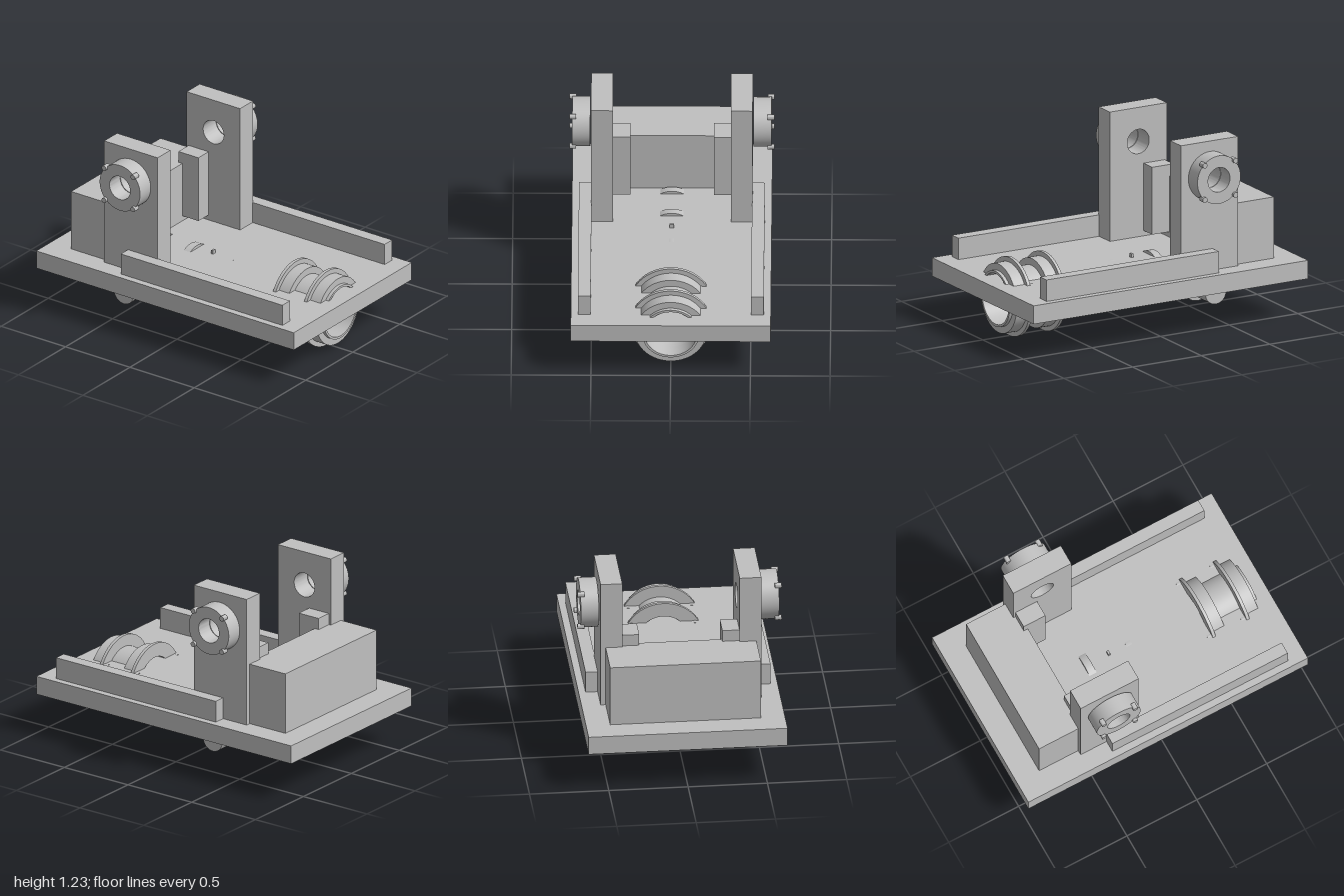
import * as THREE from 'three';
import { toCreasedNormals } from 'three/addons/utils/BufferGeometryUtils.js';

const AXLE_Y = 0.255;

export function createModel() {
  const model = new THREE.Group();
  model.name = 'machineFrame';
  const grey = new THREE.MeshStandardMaterial({ color: 0xc0c0c0 });
  grey.name = 'plain grey';

  function add(name, geometry) {
    const mesh = new THREE.Mesh(geometry, grey);
    mesh.name = name;
    model.add(mesh);
    return mesh;
  }

  // Box given by its limits on each axis
  function box(name, x0, x1, y0, y1, z0, z1) {
    const g = new THREE.BoxGeometry(x1 - x0, y1 - y0, z1 - z0);
    g.translate((x0 + x1) / 2, (y0 + y1) / 2, (z0 + z1) / 2);
    return add(name, g);
  }

  function circlePath(PathType, x, y, r) {
    const p = new PathType();
    p.absarc(x, y, r, 0, Math.PI * 2, false);
    return p;
  }

  function extrude(shape, depth, segments = 32) {
    const g = new THREE.ExtrudeGeometry(shape, { depth, bevelEnabled: false, curveSegments: segments });
    return toCreasedNormals(g, 0.6);
  }

  // Ring or disc along z, centred at (x, y)
  function ringZ(name, x, y, r, bore, z0, z1) {
    const shape = circlePath(THREE.Shape, 0, 0, r);
    if (bore) shape.holes.push(circlePath(THREE.Path, 0, 0, bore));
    return add(name, extrude(shape, z1 - z0).translate(x, y, z0));
  }

  // Ring or disc along x, centred at (y, z)
  function ringX(name, x0, x1, r, bore = 0, y = AXLE_Y, z = 0) {
    const shape = circlePath(THREE.Shape, 0, 0, r);
    if (bore) shape.holes.push(circlePath(THREE.Path, 0, 0, bore));
    return add(name, extrude(shape, x1 - x0).rotateY(Math.PI / 2).translate(x0, y, z));
  }

  // Limits along z, mirrored for each side
  const span = (s, a, b) => (s > 0 ? [a, b] : [-b, -a]);

  // Base plate and rear block
  box('basePlate', -1, 1, 0.26, 0.38, -0.627, 0.627);
  box('rearBlock', -0.84, -0.515, 0.38, 0.78, -0.475, 0.475);

  for (const s of [1, -1]) {
    // Upright with a bearing hole
    const tower = new THREE.Shape();
    tower.moveTo(-0.56, 0.38);
    tower.lineTo(-0.145, 0.38);
    tower.lineTo(-0.145, 1.225);
    tower.lineTo(-0.56, 1.225);
    tower.closePath();
    tower.holes.push(circlePath(THREE.Path, -0.352, 1.002, 0.08));
    const [t0, t1] = span(s, 0.37, 0.507);
    add('upright', extrude(tower, t1 - t0).translate(0, 0, t0));

    // Bearing flange and its four bolts
    ringZ('bearingFlange', -0.352, 1.002, 0.157, 0.08, ...span(s, 0.512, 0.625));
    for (const dx of [-0.112, 0.112])
      for (const dy of [-0.112, 0.112])
        ringZ('bearingBolt', -0.352 + dx, 1.002 + dy, 0.017, 0, ...span(s, 0.6, 0.643));

    // Inner guide block, side rail and underside rail
    box('guideBlock', -0.545, -0.39, 0.415, 0.855, ...span(s, 0.262, 0.37));
    box('sideRail', -0.375, 0.88, 0.38, 0.52, ...span(s, 0.503, 0.583));
    box('undersideRail', -0.07, 0.72, 0.205, 0.27, ...span(s, 0.1, 0.125));

    // Cross shaft with sleeve
    ringZ('crossShaft', -0.352, AXLE_Y, 0.075, 0, ...span(s, 0.0, 0.585));
    ringZ('crossSleeve', -0.352, AXLE_Y, 0.108, 0, ...span(s, 0.17, 0.362));
  }

  // Large hollow drum: rims, shoulders, waist and end lip
  ringX('drumWaist', 0.645, 0.785, 0.18, 0.165);
  ringX('drumLip', 0.885, 0.908, 0.18, 0.165);
  for (const x of [0.543, 0.785]) {
    ringX('drumRim', x, x + 0.021, 0.255, 0.165);
    ringX('drumShoulder', x + 0.021, x + 0.1, 0.224, 0.165);
    for (const dz of [-0.2, 0.2])
      for (const dy of [-0.112, 0.112])
        ringX('drumBolt', x - 0.03, x + 0.005, 0.016, 0, AXLE_Y + dy, dz);
  }

  // Central shaft with collars, sleeve and key
  ringX('tailShaft', -0.795, -0.5, 0.068);
  ringX('middleShaft', -0.5, -0.2, 0.085);
  for (const x of [-0.5, -0.258]) ringX('shaftCollar', x, x + 0.05, 0.145);
  ringX('shaftSleeve', -0.208, 0.04, 0.107);
  ringX('sleeveCollar', 0.04, 0.078, 0.126);
  box('shaftKey', -0.09, -0.076, 0.3, 0.405, -0.013, 0.013);

  return model;
}
